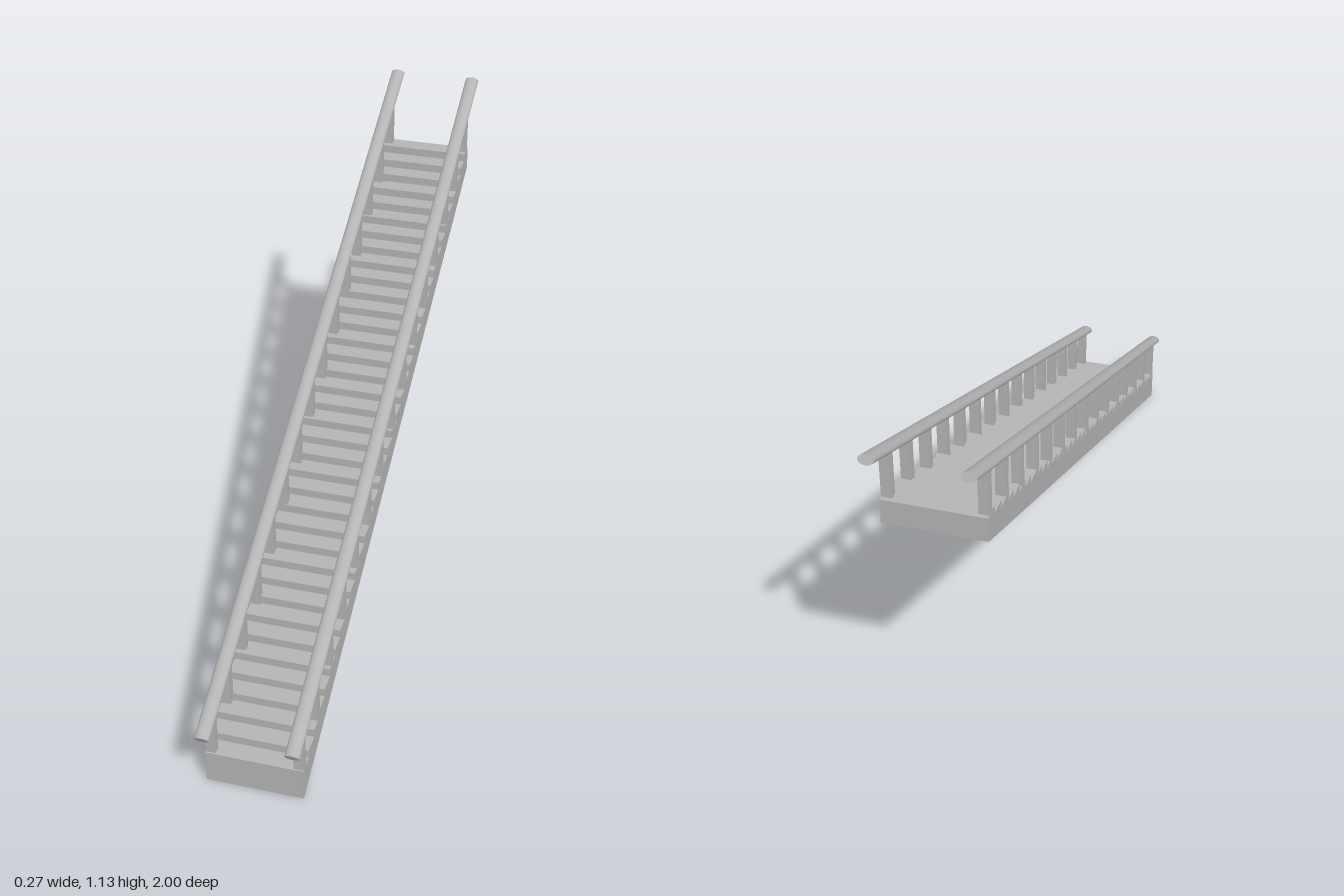
import * as THREE from 'three';

const STEPS = 37, RUN = 0.05, RISE = 0.02324;
const FRONT = 0.945, BACK = FRONT - STEPS * RUN, BASE = 0.095;
const HALF_WIDTH = 0.1285;
const RAIL_X = 0.116, RAIL_MID = 0.652, SLOPE = 0.4645;

// Height of the tread at a given z
function treadHeight(z) {
  const i = Math.floor((FRONT - z) / RUN);
  return BASE + RISE * Math.min(STEPS - 1, Math.max(0, i));
}

export function createModel() {
  const grey = new THREE.MeshStandardMaterial({ color: 0xb4b4b4 });
  grey.name = 'stone grey';
  const group = new THREE.Group();
  group.name = 'staircase';

  const add = (name, geometry, x, y, z) => {
    const mesh = new THREE.Mesh(geometry, grey);
    mesh.name = name;
    mesh.position.set(x, y, z);
    group.add(mesh);
    return mesh;
  };

  // Solid flight: stepped top, straight sloping underside
  const profile = new THREE.Shape();
  profile.moveTo(-FRONT, 0);
  profile.lineTo(-BACK, 0.864);
  for (let i = STEPS - 1; i >= 0; i--) {
    const y = BASE + i * RISE;
    profile.lineTo(-FRONT + (i + 1) * RUN, y);
    profile.lineTo(-FRONT + i * RUN, y);
  }
  profile.closePath();
  const flight = new THREE.ExtrudeGeometry(profile, { depth: 2 * HALF_WIDTH, bevelEnabled: false });
  flight.translate(0, 0, -HALF_WIDTH);
  flight.rotateY(Math.PI / 2);
  add('stepFlight', flight, 0, 0, 0);

  // Flattened round handrail, lying along the slope
  const angle = Math.atan(SLOPE);
  const railGeometry = new THREE.CylinderGeometry(1, 1, 1.99 / Math.cos(angle), 28);
  railGeometry.scale(0.0195, 1, 0.0125);
  railGeometry.rotateX(-Math.PI / 2 + angle);

  const postWidth = 0.026, postDepth = 0.022;
  for (const side of [1, -1]) {
    const label = side > 0 ? 'left' : 'right';
    add(label + 'Handrail', railGeometry, side * RAIL_X, RAIL_MID, 0);

    // Square posts standing on the treads
    for (let i = 0; i < 15; i++) {
      const z = 0.93 - i * 0.1295;
      const bottom = treadHeight(z + postDepth / 2) - 0.002;
      const top = RAIL_MID - SLOPE * z;
      add(label + 'Post', new THREE.BoxGeometry(postWidth, top - bottom, postDepth),
        side * (HALF_WIDTH - 0.0005 - postWidth / 2), (top + bottom) / 2, z);
    }
  }
  return group;
}
